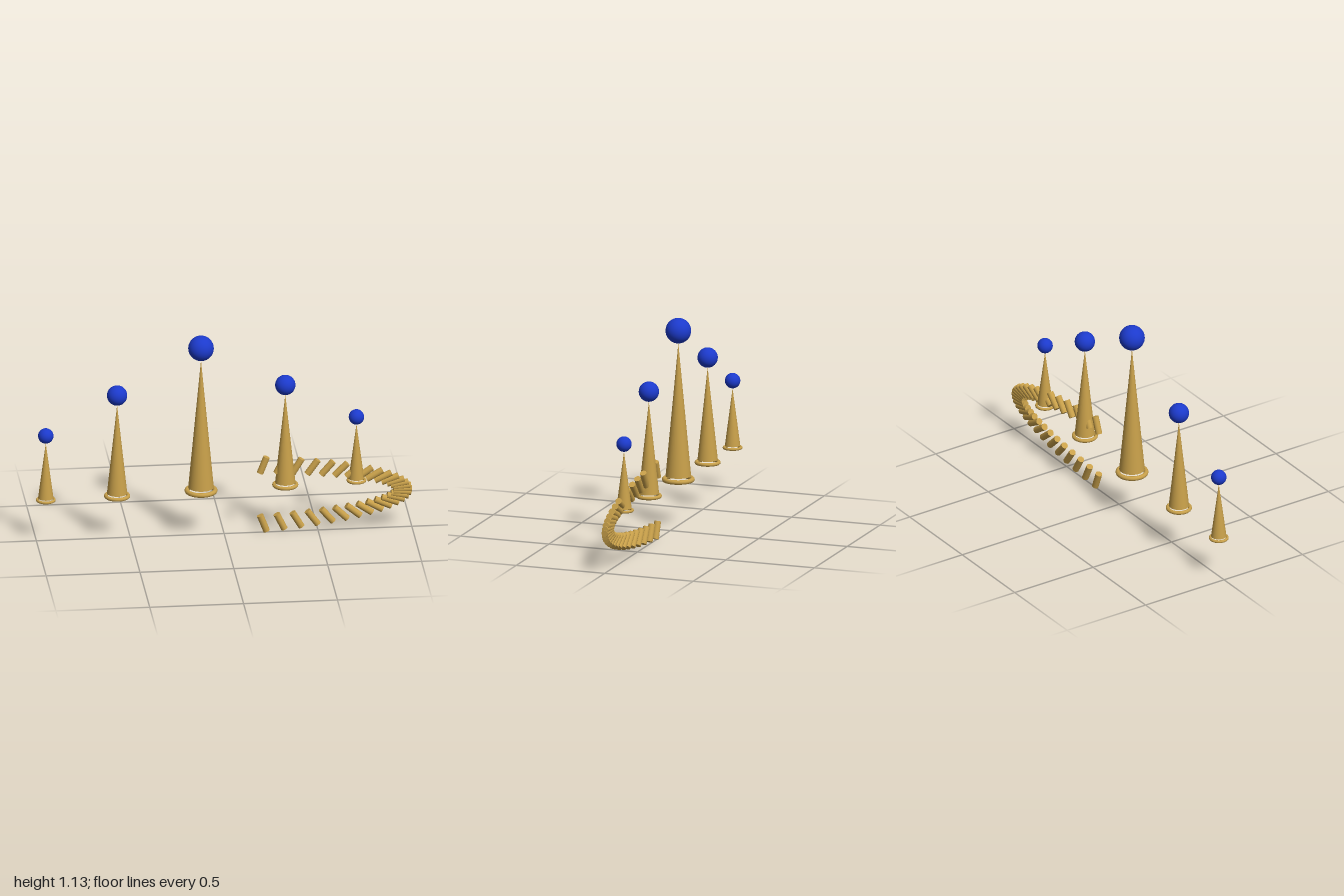
import * as THREE from 'three';

const gold = new THREE.MeshStandardMaterial({ color: 0xc8a04a });
const blue = new THREE.MeshStandardMaterial({ color: 0x1c3acc });

function addPart(parent, name, geometry, material, x, y) {
  const mesh = new THREE.Mesh(geometry, material);
  mesh.name = name;
  mesh.position.set(x, y, 0);
  parent.add(mesh);
  return mesh;
}

// A tall cone hovering just above a ring, with a ball resting on its tip
function createSpike({ x, ringY, ballY, r }) {
  const spike = new THREE.Group();
  spike.name = 'spike';
  const bottom = ringY + r * 0.27;
  const height = ballY - r - bottom;
  addPart(spike, 'cone', new THREE.ConeGeometry(r, height, 32), gold, x, bottom + height / 2);
  addPart(spike, 'ball', new THREE.SphereGeometry(r, 32, 24), blue, x, ballY);
  const ring = addPart(spike, 'baseRing', new THREE.TorusGeometry(r * 1.1, r * 0.185, 12, 40), gold, x, ringY);
  ring.rotation.x = Math.PI / 2;
  return spike;
}

// Short rods pointing outwards along an open elliptical arc
function createRodArc() {
  const arc = new THREE.Group();
  arc.name = 'rodArc';
  const rod = new THREE.CylinderGeometry(0.018, 0.018, 0.096, 20);
  const count = 29, sweep = 1.2;
  for (let i = 0; i < count; i++) {
    const angle = -sweep + (2 * sweep * i) / (count - 1);
    const x = -0.213 + 1.165 * Math.cos(angle);
    const y = 0.223 + 0.178 * Math.sin(angle);
    addPart(arc, 'rod', rod, gold, x, y).rotation.z = angle - Math.PI / 2;
  }
  return arc;
}

export function createModel() {
  const model = new THREE.Group();
  model.name = 'spikedOrnament';
  const spikes = [
    { x: -0.95, ringY: 0.238, ballY: 0.603, r: 0.041 },
    { x: -0.57, ringY: 0.246, ballY: 0.818, r: 0.054 },
    { x: -0.123, ringY: 0.258, ballY: 1.069, r: 0.068 },
    { x: 0.326, ringY: 0.272, ballY: 0.841, r: 0.054 },
    { x: 0.705, ringY: 0.282, ballY: 0.643, r: 0.041 },
  ];
  for (const spike of spikes) model.add(createSpike(spike));
  model.add(createRodArc());
  return model;
}
